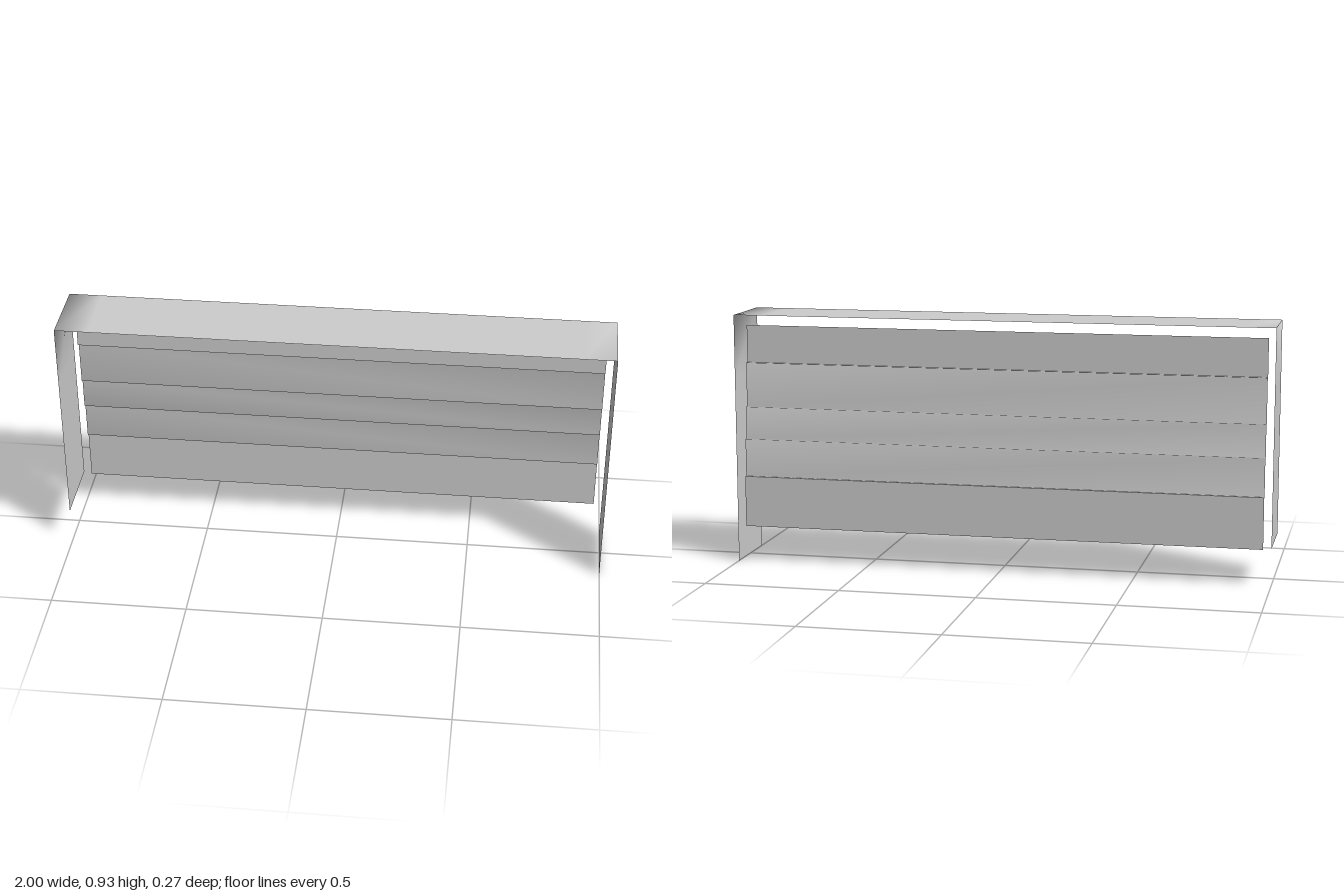
import * as THREE from 'three';

const material = new THREE.MeshStandardMaterial({ color: 0xcccccc, side: THREE.DoubleSide });

// Open sheet swept between two matching edges, smooth along its profile
function sheet(name, profile, toStart, toEnd) {
  const positions = [], index = [];
  profile.forEach((p, i) => {
    positions.push(...toStart(p), ...toEnd(p));
    if (i > 0) {
      const a = 2 * (i - 1);
      index.push(a, a + 1, a + 2, a + 1, a + 3, a + 2);
    }
  });
  const geometry = new THREE.BufferGeometry();
  geometry.setAttribute('position', new THREE.Float32BufferAttribute(positions, 3));
  geometry.setIndex(index);
  geometry.computeVertexNormals();
  const mesh = new THREE.Mesh(geometry, material);
  mesh.name = name;
  return mesh;
}

export function createModel() {
  const group = new THREE.Group();
  group.name = 'slattedPanel';

  // Thin wrap-around frame: one short side, the top and one full-height side
  const depth = 0.133;
  const frame = [
    [-1, 0.14], [-1, 0.7], [-1, 0.933], [-0.88, 0.933],
    [0.88, 0.933], [1, 0.933], [1, 0.7], [1, 0],
  ];
  group.add(sheet('frame', frame, ([x, y]) => [x, y, -depth], ([x, y]) => [x, y, depth]));

  // Back slats, each set slightly forward of the one below
  const half = 0.97;
  const heights = [0.135, 0.325, 0.465, 0.585, 0.75, 0.89];
  const offsets = [-0.128, -0.116, -0.103, -0.09, -0.075];
  const slat = (name, profile) => group.add(
    sheet(name, profile, ([y, z]) => [-half, y, z], ([y, z]) => [half, y, z]));

  slat('bottomSlat', [[heights[0], offsets[0]], [heights[1], offsets[0]]]);

  // Middle slats joined by small ledges
  const middle = [];
  for (let i = 1; i < 5; i++) {
    middle.push([heights[i], offsets[i - 1]], [heights[i], offsets[i]]);
  }
  slat('middleSlats', middle);

  slat('topSlat', [[heights[4], offsets[4]], [heights[5], offsets[4]]]);
  return group;
}
